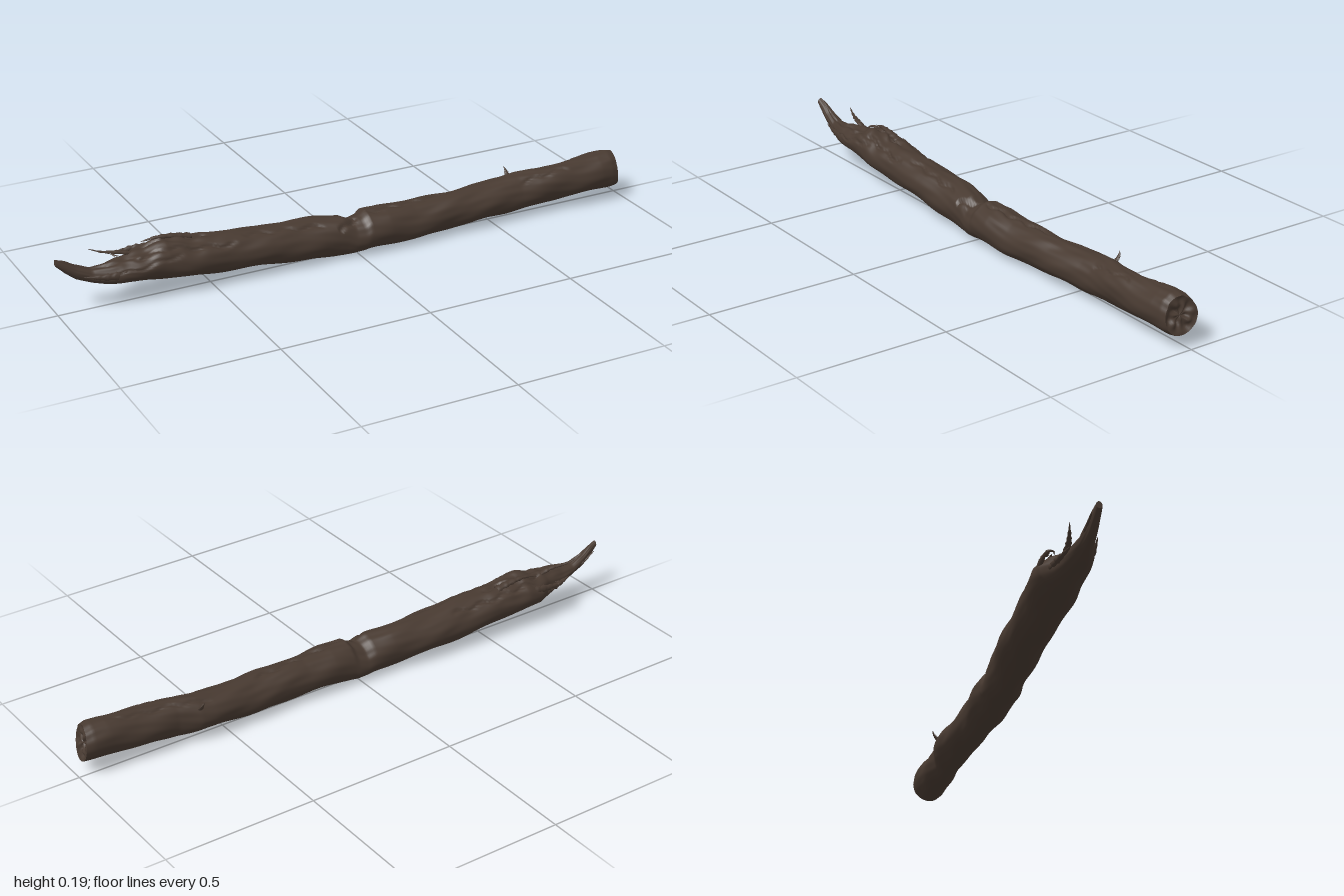
import * as THREE from 'three';

// Cross-sections along the log: x, bottom, top, back z, front z
const SECTIONS = [
  [-1.0, 0.165, 0.188, -0.006, 0.012], [-0.97, 0.135, 0.176, -0.012, 0.014],
  [-0.94, 0.112, 0.157, -0.017, 0.018], [-0.89, 0.092, 0.135, -0.024, 0.026],
  [-0.84, 0.078, 0.138, -0.036, 0.042], [-0.8, 0.071, 0.145, -0.046, 0.052],
  [-0.76, 0.064, 0.148, -0.06, 0.056], [-0.71, 0.057, 0.158, -0.084, 0.06],
  [-0.65, 0.05, 0.176, -0.087, 0.063], [-0.59, 0.045, 0.165, -0.086, 0.066],
  [-0.5, 0.036, 0.156, -0.083, 0.066], [-0.3, 0.019, 0.145, -0.076, 0.064],
  [-0.12, 0.007, 0.137, -0.064, 0.067], [-0.05, 0.003, 0.13, -0.058, 0.072],
  [-0.02, 0.002, 0.114, -0.056, 0.075], [0.015, 0.002, 0.122, -0.055, 0.078],
  [0.03, 0.003, 0.138, -0.054, 0.079], [0.1, 0.006, 0.139, -0.053, 0.081],
  [0.2, 0.009, 0.129, -0.051, 0.079], [0.4, 0.013, 0.131, -0.054, 0.071],
  [0.55, 0.02, 0.138, -0.06, 0.064], [0.6, 0.023, 0.141, -0.059, 0.063],
  [0.67, 0.027, 0.147, -0.042, 0.068], [0.8, 0.034, 0.156, -0.038, 0.073],
  [0.9, 0.04, 0.166, -0.037, 0.077], [0.95, 0.042, 0.166, -0.036, 0.077],
  [0.975, 0.046, 0.159, -0.033, 0.073],
];

// Cracks in the bark: start x, end x, start angle, end angle, depth, width
// (angle 0 faces the front, 1.57 faces up)
const CRACKS = [
  [0.03, 0.38, 1.35, 1.75, 0.008, 0.10], [-0.08, 0.0, 0.5, 1.5, 0.010, 0.16],
  [-0.76, -0.42, 1.0, 0.75, 0.008, 0.11], [-0.74, -0.5, 1.9, 1.6, 0.011, 0.13],
  [-0.7, -0.35, 2.4, 2.2, 0.008, 0.1], [-0.4, -0.12, 1.2, 1.0, 0.006, 0.1],
  [-0.95, -0.74, 1.5, 1.2, 0.007, 0.2], [0.55, 0.9, 2.1, 1.9, 0.005, 0.1],
  [0.6, 0.78, 0.9, 1.05, 0.005, 0.1], [-0.82, -0.6, 0.3, 0.5, 0.005, 0.1],
];

function section(x) {
  let i = 0;
  while (i < SECTIONS.length - 2 && x > SECTIONS[i + 1][0]) i++;
  const a = SECTIONS[i], b = SECTIONS[i + 1];
  const t = (x - a[0]) / (b[0] - a[0]);
  return a.map((v, k) => v + (b[k] - v) * t);
}

// Bark relief: soft lumps, stringy grain and cracks
function relief(x, a) {
  const upper = 0.35 + 0.65 * Math.max(0, Math.sin(a));
  let d = 0.0022 * Math.sin(x * 17 + 2 * a) + 0.0016 * Math.sin(x * 31 - 3 * a);
  d += upper * 0.0016 * Math.sin(11 * a + 3 * Math.sin(x * 9)) * Math.sin(x * 23 + 2 * a);
  for (const [x0, x1, a0, a1, depth, width] of CRACKS) {
    const t = (x - x0) / (x1 - x0);
    if (t <= 0 || t >= 1) continue;
    const off = (a - (a0 + (a1 - a0) * t + 0.09 * Math.sin(x * 70))) / width;
    d -= depth * Math.min(1, 4 * Math.sin(Math.PI * t)) * Math.exp(-off * off * 2);
  }
  // Torn, ragged upper side near the splintered end
  if (x < -0.45 && x > -0.9) {
    const fade = Math.sin(((x + 0.9) / 0.45) * Math.PI);
    d += fade * Math.max(0, Math.sin(a)) * 0.005 * Math.sin(x * 62 + 4 * a) * Math.sin(5 * a - x * 20);
  }
  return d;
}

// Point on the log; s shrinks the ring toward its centre for the end faces
function logPoint(x, a, s = 1) {
  const [, y0, y1, z0, z1] = section(x);
  const ry = (y1 - y0) / 2, rz = (z1 - z0) / 2;
  const d = relief(x, a) * Math.min(1, ry / 0.04);
  const y = (y0 + y1) / 2 + s * (ry + d) * Math.sin(a);
  const z = (z0 + z1) / 2 + s * (rz + d) * Math.cos(a);
  // The sawn end slants: lower and back parts reach farther out
  const slant = Math.max(0, (x - 0.9) / 0.075);
  const px = x - slant * (0.19 * (z - 0.02) + 0.13 * (y - 0.1));
  return [px, Math.max(0, y), z];
}

// Closed-loop surface from rows of points
function gridGeometry(rows, cols, point) {
  const pos = [], idx = [];
  for (let i = 0; i <= rows; i++)
    for (let j = 0; j < cols; j++) pos.push(...point(i / rows, (j / cols) * Math.PI * 2));
  for (let i = 0; i < rows; i++)
    for (let j = 0; j < cols; j++) {
      const k = (j + 1) % cols;
      const a = i * cols + j, b = a + cols, c = i * cols + k, d = c + cols;
      idx.push(a, b, c, b, d, c);
    }
  const g = new THREE.BufferGeometry();
  g.setAttribute('position', new THREE.Float32BufferAttribute(pos, 3));
  g.setIndex(idx);
  g.computeVertexNormals();
  return g;
}

// Tapered sliver of wood following a curve
function splinterGeometry(points, radius, flat = 0.6) {
  const curve = new THREE.CatmullRomCurve3(points.map((p) => new THREE.Vector3(...p)));
  const frames = curve.computeFrenetFrames(16, false);
  return gridGeometry(16, 8, (t, a) => {
    const i = Math.round(t * 16);
    const r = radius * (1 - 0.95 * t ** 1.6) * (1 + 0.2 * Math.sin(i * 2.3));
    const p = curve.getPointAt(t)
      .addScaledVector(frames.normals[i], r * Math.cos(a))
      .addScaledVector(frames.binormals[i], r * flat * Math.sin(a));
    return [p.x, p.y, p.z];
  });
}

export function createModel() {
  const group = new THREE.Group();
  const bark = new THREE.MeshStandardMaterial({ color: 0x483a31, side: THREE.DoubleSide });
  bark.name = 'dark bark';
  const add = (name, geometry) => {
    const mesh = new THREE.Mesh(geometry, bark);
    mesh.name = name;
    group.add(mesh);
  };

  // Trunk
  const X0 = -1, X1 = 0.975;
  add('trunk', gridGeometry(320, 72, (t, a) => logPoint(X0 + (X1 - X0) * t, a)));

  // Rough broken face on the thick end
  add('brokenEnd', gridGeometry(10, 72, (t, a) => {
    const p = logPoint(X1, a, 1 - t);
    const r = 1 - t;
    p[0] += Math.sin(Math.PI * r) * (0.005 * Math.sin(3 * a + 6 * r) + 0.003 * Math.sin(7 * a))
      - 0.008 * (1 - r * r) + 0.004 * Math.sin(r * 14) * r * (1 - r);
    return p;
  }));

  // Small closing face on the thin tip
  add('tipEnd', gridGeometry(2, 72, (t, a) => logPoint(X0, a, t)));

  // Splinters of the torn end, the ragged crest and a twig stub
  const slivers = [
    ['raisedSplinter', [[-0.74, 0.145, -0.015], [-0.79, 0.158, -0.02], [-0.84, 0.164, -0.033], [-0.88, 0.178, -0.045]], 0.011],
    ['backSplinter', [[-0.66, 0.125, -0.07], [-0.71, 0.13, -0.078], [-0.76, 0.128, -0.083], [-0.795, 0.125, -0.08]], 0.016],
    ['backHook', [[-0.76, 0.128, -0.08], [-0.785, 0.13, -0.078], [-0.79, 0.128, -0.066], [-0.775, 0.125, -0.058]], 0.008],
    ['lowSplinter', [[-0.74, 0.1, -0.05], [-0.8, 0.105, -0.046], [-0.86, 0.113, -0.036]], 0.018],
    ['frontSplinter', [[-0.76, 0.11, 0.04], [-0.84, 0.11, 0.037], [-0.92, 0.12, 0.025]], 0.017],
    ['tipSplinter', [[-0.86, 0.115, 0.0], [-0.93, 0.13, -0.012], [-0.985, 0.16, -0.014]], 0.014],
    ['crest', [[-0.55, 0.156, -0.03], [-0.61, 0.168, -0.033], [-0.66, 0.172, -0.037], [-0.71, 0.163, -0.045]], 0.015],
    ['twigStub', [[0.6, 0.118, -0.042], [0.6, 0.135, -0.056], [0.595, 0.148, -0.063]], 0.009],
  ];
  for (const [name, points, radius] of slivers) add(name, splinterGeometry(points, radius));

  return group;
}
